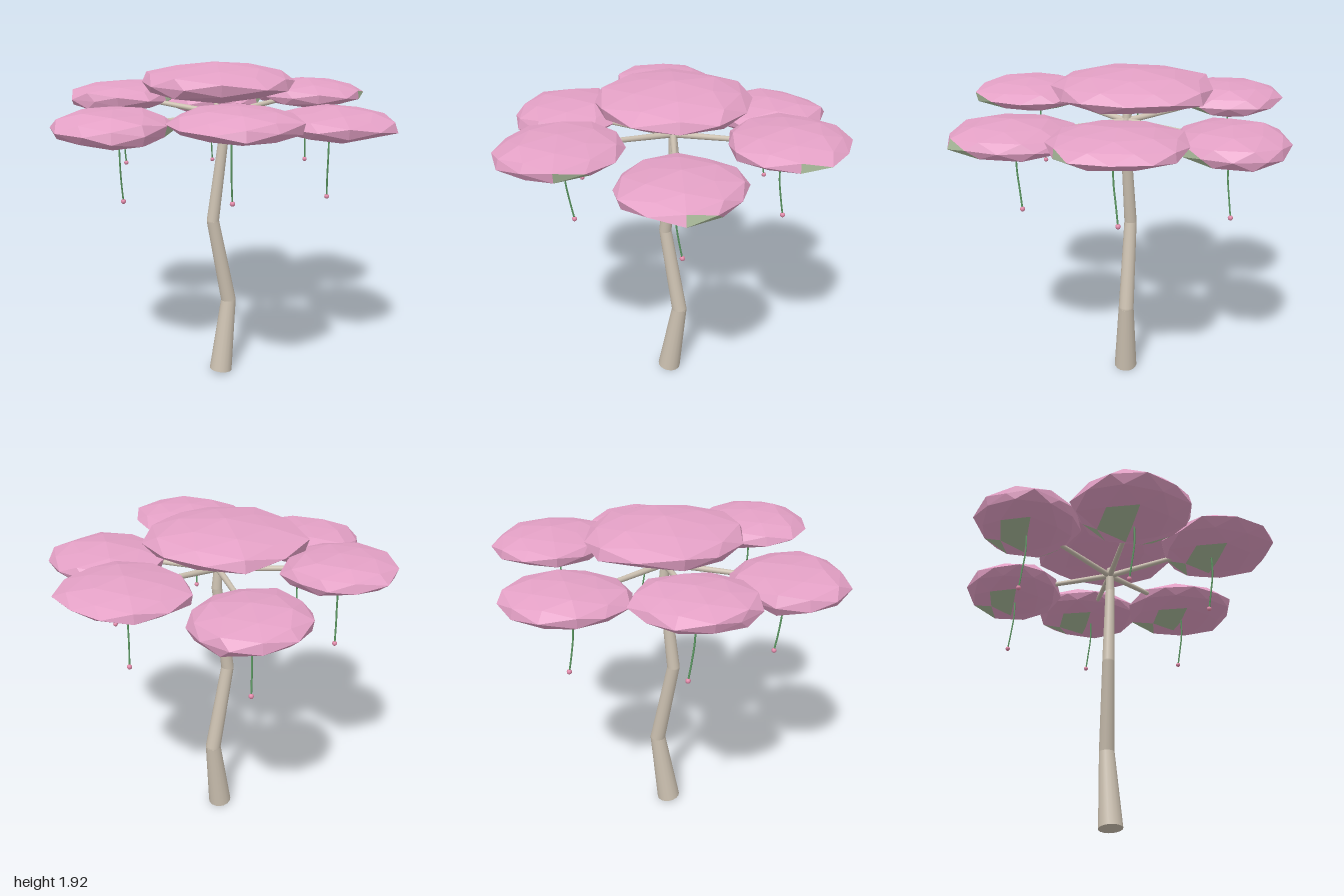
import * as THREE from 'three';

const mat = (name, color, flatShading = false) => {
  const m = new THREE.MeshStandardMaterial({ color, flatShading });
  m.name = name;
  return m;
};

const V = (x, y, z) => new THREE.Vector3(x, y, z);

// Tapered round limb between two points
function limb(name, a, b, r0, r1, material) {
  const d = b.clone().sub(a);
  const mesh = new THREE.Mesh(new THREE.CylinderGeometry(r1, r0, d.length(), 16), material);
  mesh.position.copy(a).addScaledVector(d, 0.5);
  mesh.quaternion.setFromUnitVectors(V(0, 1, 0), d.normalize());
  mesh.name = name;
  return mesh;
}

// Directions and tolerances of the leafy green facets on a pad
const greenSpots = [
  [V(0, -0.97, -0.14).normalize(), 0.93],
  [V(0.8, -0.12, 0.6).normalize(), 0.965],
  [V(0.55, -0.6, -0.58).normalize(), 0.97],
];

// Flattened, slightly irregular faceted pad with the given centre and overall size
function pad(name, centre, size, seed, materials, spots) {
  const geo = new THREE.IcosahedronGeometry(1, 1);
  const p = geo.attributes.position;
  const v = V(0, 0, 0);
  geo.clearGroups();
  for (let i = 0; i < p.count; i += 3) {
    const mid = V(0, 0, 0);
    for (let k = 0; k < 3; k++) mid.add(v.fromBufferAttribute(p, i + k));
    mid.normalize();
    const green = spots && greenSpots.some(([d, t]) => mid.dot(d) > t);
    geo.addGroup(i, 3, green ? 1 : 0);
  }
  for (let i = 0; i < p.count; i++) {
    v.fromBufferAttribute(p, i);
    const n = Math.sin(v.x * 5 + seed * 2.1) * Math.cos(v.z * 4.3 + seed * 1.3) + 0.6 * Math.sin(v.y * 6 + v.x * 3 + seed);
    v.multiplyScalar(1 + 0.06 * n);
    p.setXYZ(i, v.x, v.y, v.z);
  }
  geo.center();
  geo.boundingBox.getSize(v);
  geo.scale(size.x / v.x, size.y / v.y, size.z / v.z);
  geo.computeVertexNormals();
  const mesh = new THREE.Mesh(geo, materials);
  mesh.position.copy(centre);
  mesh.name = name;
  return mesh;
}

// Ring pads: centre x, centre z, width, depth (heights alternate high and low)
const ring = [
  [0.675, -0.05, 0.65, 0.7],
  [0.355, 0.53, 0.65, 0.7],
  [-0.315, 0.56, 0.67, 0.68],
  [-0.675, -0.055, 0.65, 0.69],
  [-0.33, -0.59, 0.64, 0.635],
  [0.343, -0.6, 0.675, 0.62],
];

export function createModel() {
  const root = new THREE.Group();
  root.name = 'blossomTree';
  const bark = mat('bark', 0xcbc0b0);
  const pink = mat('blossomPink', 0xe3a0c5, true);
  const leaf = mat('leafGreen', 0xa9ba9a, true);
  const vine = mat('vineGreen', 0x5c9862);
  const bud = mat('budPink', 0xdf88a8);

  // Crooked trunk
  const nodes = [V(0.004, 0.012, -0.022), V(0.07, 0.47, -0.032), V(-0.036, 1.0, -0.046), V(0.03, 1.52, -0.024), V(0.02, 1.67, -0.026)];
  const radii = [0.07, 0.046, 0.037, 0.029, 0.022];
  const trunk = new THREE.Group();
  trunk.name = 'trunk';
  for (let i = 0; i < 4; i++) {
    trunk.add(limb('trunkSegment', nodes[i], nodes[i + 1], radii[i], radii[i + 1], bark));
    const joint = new THREE.Mesh(new THREE.SphereGeometry(radii[i + 1], 16, 10), bark);
    joint.position.copy(nodes[i + 1]);
    joint.name = 'trunkJoint';
    trunk.add(joint);
  }
  root.add(trunk);

  // Crown pad
  root.add(pad('crownPad', V(0.008, 1.818, -0.05), V(0.86, 0.215, 0.9), 0.7, [pink, leaf], false));

  // Ring of six pads, each with branch, vine and bud
  const fork = V(0.024, 1.635, -0.026);
  ring.forEach(([x, z, w, d], i) => {
    const high = i % 2 === 0;
    const centre = V(x, high ? 1.705 : 1.632, z);
    root.add(pad('blossomPad', centre, V(w, high ? 0.17 : 0.185, d), i * 1.7 + 0.4, [pink, leaf], true));

    // Vines hang on an even circle around the trunk
    const a = (i * Math.PI) / 3;
    const hang = V(0.005 + 0.652 * Math.cos(a), centre.y, -0.03 + 0.652 * Math.sin(a));
    root.add(limb('branch', fork, hang, 0.018, 0.011, bark));
    const end = hang.clone().add(V(0.025, high ? -0.425 : -0.417, -0.025));
    const path = new THREE.CatmullRomCurve3([
      hang.clone().add(V(0, -0.05, 0)),
      hang.clone().add(V(0, -0.2, 0)),
      hang.clone().add(V(0.01, -0.31, -0.012)),
      end,
    ]);
    const strand = new THREE.Mesh(new THREE.TubeGeometry(path, 12, 0.005, 6), vine);
    strand.name = 'vine';
    const tip = new THREE.Mesh(new THREE.SphereGeometry(0.014, 12, 8), bud);
    tip.position.copy(end);
    tip.name = 'bud';
    root.add(strand, tip);
  });
  return root;
}
